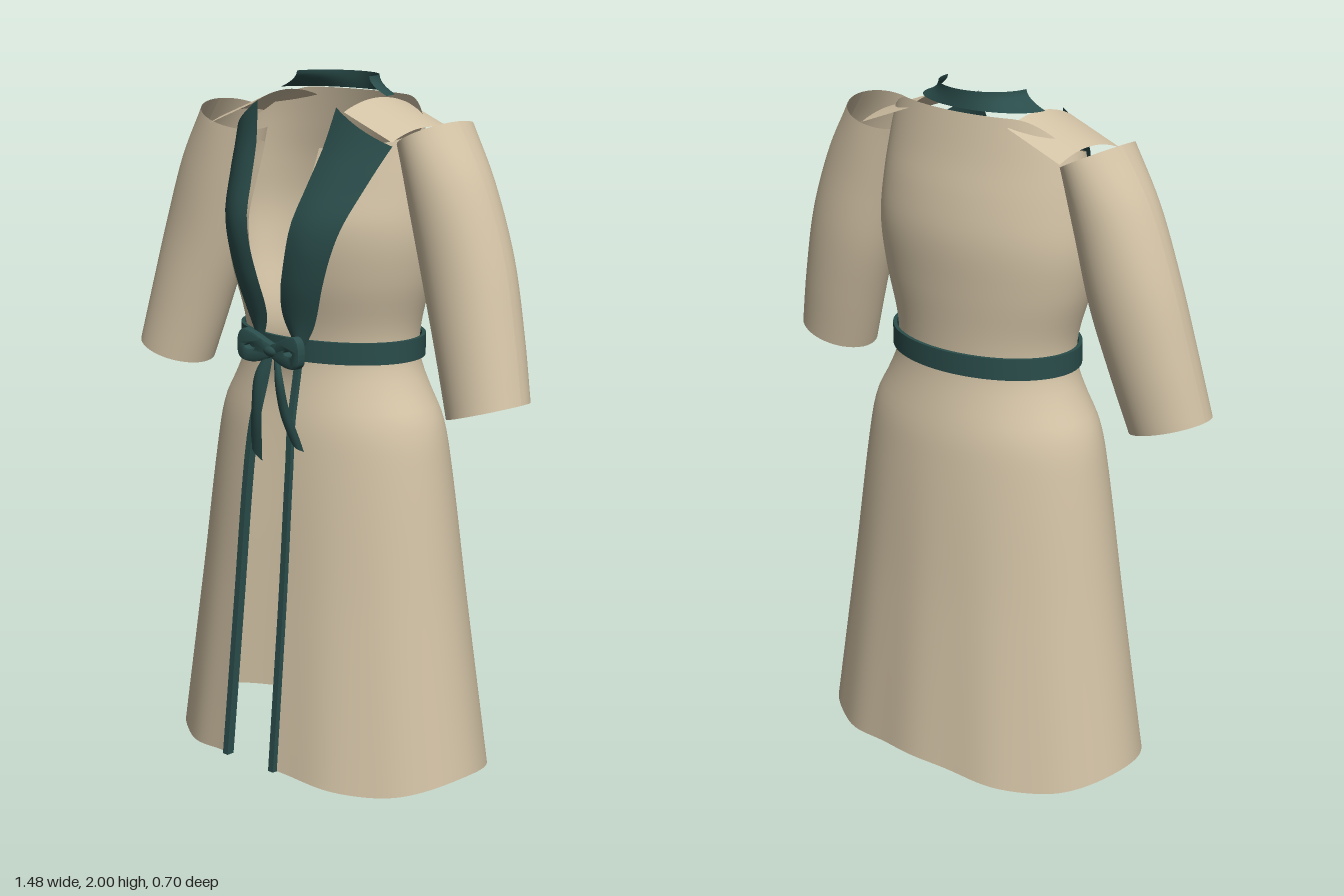
import * as THREE from 'three';
import { toCreasedNormals } from 'three/addons/utils/BufferGeometryUtils.js';

const cloth = new THREE.MeshStandardMaterial({ color: 0xd2c2a5, side: THREE.DoubleSide });
const trim = new THREE.MeshStandardMaterial({ color: 0x2a4d4b, side: THREE.DoubleSide });

// Smooth interpolation through [y, value] pairs
function curve(pts) {
  const slope = (i) => {
    const a = pts[Math.max(i - 1, 0)], b = pts[Math.min(i + 1, pts.length - 1)];
    return (b[1] - a[1]) / (b[0] - a[0]);
  };
  return (y) => {
    let i = 0;
    while (i < pts.length - 2 && y > pts[i + 1][0]) i++;
    const [y0, v0] = pts[i], [y1, v1] = pts[i + 1], h = y1 - y0;
    const t = THREE.MathUtils.clamp((y - y0) / h, 0, 1), t2 = t * t, t3 = t2 * t;
    return v0 * (2 * t3 - 3 * t2 + 1) + v1 * (3 * t2 - 2 * t3)
      + h * (slope(i) * (t3 - 2 * t2 + t) + slope(i + 1) * (t3 - t2));
  };
}

// Robe profile by height: half width, front depth, back depth, half opening
const width = curve([[0, 0.535], [0.5, 0.46], [0.95, 0.395], [1.05, 0.37], [1.13, 0.325], [1.21, 0.292],
  [1.3, 0.293], [1.45, 0.335], [1.58, 0.355], [1.72, 0.345], [1.85, 0.325], [1.945, 0.3]]);
const front = curve([[0, 0.35], [0.5, 0.3], [1, 0.25], [1.21, 0.205], [1.3, 0.208], [1.45, 0.24],
  [1.6, 0.247], [1.72, 0.205], [1.82, 0.168], [1.945, 0.145]]);
const back = curve([[0, 0.35], [0.5, 0.3], [1, 0.25], [1.21, 0.202], [1.3, 0.2], [1.45, 0.21],
  [1.6, 0.215], [1.72, 0.197], [1.82, 0.172], [1.945, 0.145]]);
const opening = curve([[0, 0.1], [0.9, 0.088], [1.2, 0.07], [1.4, 0.08], [1.65, 0.1], [1.945, 0.11]]);

const frontZ = (x, y) => front(y) * Math.sqrt(Math.max(0, 1 - (x / width(y)) ** 2));

// Surface from fn(u, v) -> [x, y, z]
function sheet(fn, nu, nv) {
  const pos = [], idx = [];
  for (let j = 0; j <= nv; j++) for (let i = 0; i <= nu; i++) pos.push(...fn(i / nu, j / nv));
  for (let j = 0; j < nv; j++) for (let i = 0; i < nu; i++) {
    const a = j * (nu + 1) + i, b = a + nu + 1;
    idx.push(a, a + 1, b + 1, a, b + 1, b);
  }
  const g = new THREE.BufferGeometry();
  g.setAttribute('position', new THREE.Float32BufferAttribute(pos, 3));
  g.setIndex(idx);
  g.computeVertexNormals();
  return g;
}

function part(parent, name, geometry, material) {
  const m = new THREE.Mesh(geometry, material);
  m.name = name;
  parent.add(m);
  return m;
}

// Robe shell, open at the front, with a wavy hem and a raised back neckline
function robeGeometry() {
  return sheet((u, v) => {
    const level = v * 1.945;
    let ang = 0, y = level;
    for (let k = 0; k < 2; k++) {
      const gap = Math.asin(opening(y) / width(y));
      ang = gap + u * (2 * Math.PI - 2 * gap);
      const c = Math.cos(ang);
      const top = c < 0 ? 1.86 + 0.085 * THREE.MathUtils.smoothstep(-c, 0, 0.8) : 1.86 - 0.05 * c;
      y = level;
      if (level > 1.6) y = 1.6 + (level - 1.6) * (top - 1.6) / 0.345;
      if (level < 0.5) y += (0.021 + 0.017 * Math.cos(4 * ang)) * (1 - level / 0.5);
    }
    const c = Math.cos(ang), fold = 1 + 0.012 * Math.cos(12 * ang) * Math.max(0, 1 - y);
    return [width(y) * Math.sin(ang), y, (c > 0 ? front(y) : back(y)) * c * fold];
  }, 120, 70);
}

// Lapel laid over the chest, between an inner and an outer edge
function lapelGeometry() {
  const inner = new THREE.CatmullRomCurve3([[0.06, 1.265], [0.032, 1.35], [0.075, 1.55], [0.155, 1.925]]
    .map(([x, y]) => new THREE.Vector3(x, y, 0)));
  const outer = new THREE.CatmullRomCurve3([[0.1, 1.265], [0.135, 1.33], [0.205, 1.53], [0.305, 1.825]]
    .map(([x, y]) => new THREE.Vector3(x, y, 0)));
  return sheet((u, v) => {
    const p = inner.getPoint(v).lerp(outer.getPoint(v), u);
    return [p.x, p.y, frontZ(p.x, p.y) + 0.016 + 0.01 * Math.sin(Math.PI * u)];
  }, 8, 30);
}

// Curved sleeve, open at both ends
function sleeveGeometry() {
  const path = new THREE.CatmullRomCurve3([
    new THREE.Vector3(0.39, 1.86, 0), new THREE.Vector3(0.455, 1.7, 0.003),
    new THREE.Vector3(0.52, 1.5, 0.006), new THREE.Vector3(0.58, 1.3, 0.022),
    new THREE.Vector3(0.627, 1.135, 0.04)]);
  const across = curve([[0, 0.09], [0.25, 0.12], [0.5, 0.134], [0.75, 0.128], [1, 0.12]]);
  const deep = curve([[0, 0.127], [0.5, 0.122], [1, 0.112]]);
  return sheet((u, v) => {
    const c = path.getPoint(v), a = u * 2 * Math.PI, tilt = THREE.MathUtils.lerp(0.46, 0.29, v);
    const r = across(v) * Math.cos(a);
    return [c.x + r * Math.cos(tilt), c.y + r * Math.sin(tilt), c.z + deep(v) * Math.sin(a)];
  }, 40, 24);
}

// Narrow border following the skirt's front edge
function borderGeometry() {
  const g = new THREE.BoxGeometry(0.02, 1.185, 0.024, 1, 40, 1).translate(0, 0.625, 0);
  const p = g.attributes.position;
  for (let i = 0; i < p.count; i++) {
    const y = p.getY(i), x = opening(y);
    p.setXYZ(i, p.getX(i) + x - 0.004, y, p.getZ(i) + frontZ(x, y));
  }
  g.computeVertexNormals();
  return g;
}

function beltGeometry() {
  const s = new THREE.Shape().absellipse(0, 0, 0.305, 0.218, 0, Math.PI * 2);
  s.holes.push(new THREE.Path().absellipse(0, 0, 0.294, 0.207, 0, Math.PI * 2));
  const g = new THREE.ExtrudeGeometry(s, { depth: 0.062, bevelEnabled: false, curveSegments: 64 });
  return toCreasedNormals(g.rotateX(-Math.PI / 2).translate(0, 1.217, 0), 0.6);
}

// Bow loop: a rounded teardrop with a slit
function loopGeometry() {
  const s = new THREE.Shape();
  s.moveTo(0, -0.012);
  s.bezierCurveTo(0.05, -0.04, 0.11, -0.045, 0.118, -0.02);
  s.bezierCurveTo(0.125, 0.01, 0.12, 0.045, 0.1, 0.048);
  s.bezierCurveTo(0.07, 0.045, 0.04, 0.025, 0, 0.012);
  s.holes.push(new THREE.Path().absellipse(0.078, 0.003, 0.024, 0.012, 0, Math.PI * 2, true));
  const g = new THREE.ExtrudeGeometry(s, { depth: 0.016, bevelThickness: 0.006, bevelSize: 0.005, bevelSegments: 2 });
  return toCreasedNormals(g.translate(0, 0, -0.008), 0.7);
}

// Bow tail: a ribbon along a path, widening towards a slanted tip
function tailGeometry(points) {
  const path = new THREE.CatmullRomCurve3(points.map((p) => new THREE.Vector3(...p)));
  return sheet((u, v) => {
    const c = path.getPoint(v), t = path.getTangent(v), w = (u - 0.5) * (0.028 + 0.022 * v);
    return [c.x + t.y * w, c.y - t.x * w + 0.03 * v ** 6 * (u - 0.5), c.z + 0.008 * Math.sin(u * Math.PI)];
  }, 4, 20);
}

export function createModel() {
  const model = new THREE.Group();
  model.name = 'robe';
  part(model, 'robeBody', robeGeometry(), cloth);

  for (const side of [1, -1]) {
    const half = new THREE.Group();
    half.name = side > 0 ? 'leftSide' : 'rightSide';
    half.scale.x = side;
    model.add(half);
    part(half, 'sleeve', sleeveGeometry(), cloth);
    part(half, 'lapel', lapelGeometry(), trim);
    part(half, 'skirtBorder', borderGeometry(), trim);
    // Arched shoulder panel
    part(half, 'shoulderPanel', sheet((u, v) => {
      const x = 0.18 + 0.18 * u, z = 0.14 - 0.265 * v;
      return [x, 1.945 - 0.38 * (x - 0.18) - 1.6 * z * z, z];
    }, 8, 12), cloth);
  }

  // Half-round collar band, flared at its base
  part(model, 'collar', sheet((u, v) => {
    const a = Math.PI / 2 + u * Math.PI, flare = (1 - v) ** 2;
    return [(0.142 + 0.066 * flare) * Math.sin(a), 1.95 + 0.05 * v, (0.12 + 0.005 * flare) * Math.cos(a)];
  }, 40, 6), trim);

  part(model, 'belt', beltGeometry(), trim);

  // Bow at the front of the belt
  const bow = new THREE.Group();
  bow.name = 'bow';
  model.add(bow);
  for (const side of [1, -1]) {
    const loop = part(bow, 'bowLoop', loopGeometry(), trim);
    loop.position.set(0.02, 1.247, 0.256);
    loop.scale.x = side;
    loop.rotation.y = -0.1 * side;
  }
  const knot = part(bow, 'bowKnot', new THREE.SphereGeometry(1, 20, 14).scale(0.03, 0.017, 0.018), trim);
  knot.position.set(0.02, 1.245, 0.262);
  part(bow, 'bowTailRight', tailGeometry([[0.01, 1.24, 0.255], [-0.02, 1.17, 0.275], [-0.035, 1.06, 0.272], [-0.06, 0.935, 0.25]]), trim);
  part(bow, 'bowTailLeft', tailGeometry([[0.03, 1.24, 0.255], [0.065, 1.17, 0.28], [0.08, 1.08, 0.272], [0.115, 0.98, 0.255]]), trim);
  return model;
}
